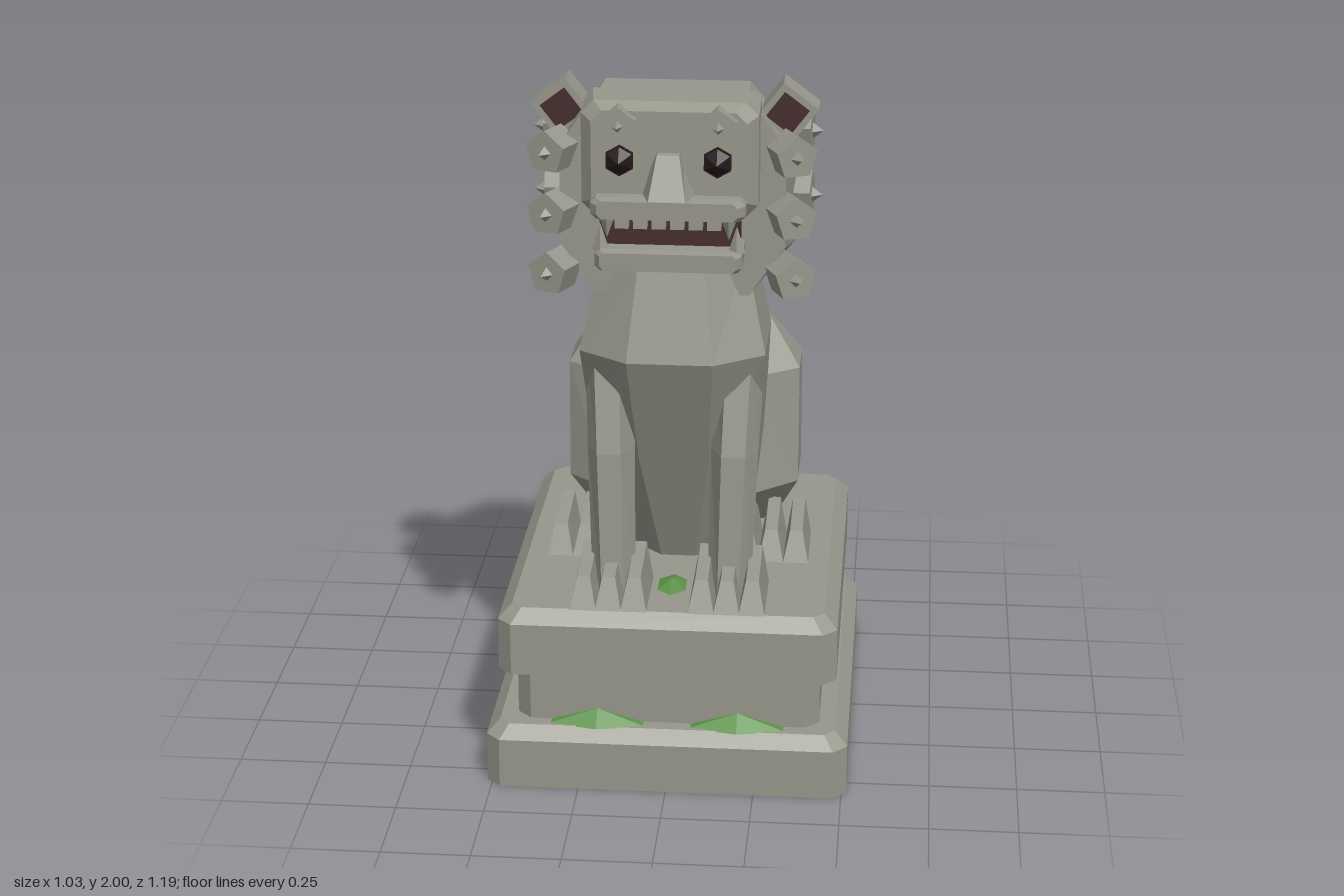
import * as THREE from 'three';

const mat = (name, color) => {
  const m = new THREE.MeshStandardMaterial({ color });
  m.name = name;
  return m;
};

// Faceted normals for the low-poly look
function flat(geo) {
  const g = geo.index ? geo.toNonIndexed() : geo;
  g.computeVertexNormals();
  return g;
}

// Solid skin over cross-sections with equal point counts, capped at both ends
function loft(rings) {
  const n = rings[0].length, tris = [];
  for (let r = 0; r < rings.length - 1; r++) {
    for (let i = 0; i < n; i++) {
      const j = (i + 1) % n, a = rings[r], b = rings[r + 1];
      tris.push([a[i], a[j], b[j]], [a[i], b[j], b[i]]);
    }
  }
  const end = rings[rings.length - 1];
  for (let i = 1; i < n - 1; i++) {
    tris.push([rings[0][0], rings[0][i + 1], rings[0][i]], [end[0], end[i], end[i + 1]]);
  }
  // Turn the faces outward if the volume comes out negative
  const v = p => new THREE.Vector3(...p);
  let volume = 0;
  for (const [a, b, c] of tris) volume += v(a).dot(v(b).cross(v(c)));
  if (volume < 0) tris.forEach(t => t.reverse());
  const geo = new THREE.BufferGeometry();
  geo.setAttribute('position', new THREE.Float32BufferAttribute(tris.flat(2), 3));
  return flat(geo);
}

// Rectangle with cut corners
const octagon = (w, h, cw, ch = cw) => [
  [w - cw, h], [w, h - ch], [w, ch - h], [w - cw, -h],
  [cw - w, -h], [-w, ch - h], [-w, h - ch], [cw - w, h]];
// Horizontal sections: cut rectangle and regular polygon
const octY = (y, z, w, d, cw, cd) => octagon(w, d, cw, cd).map(([a, b]) => [a, y, z + b]);
const polyY = (n, x, y, z, rx, rz, phase = 0) => Array.from({ length: n }, (_, i) => {
  const t = phase + i * 2 * Math.PI / n;
  return [x + rx * Math.cos(t), y, z + rz * Math.sin(t)];
});
// Upright section across z
const octZ = (z, w, y0, y1, cw, ch) =>
  octagon(w, (y1 - y0) / 2, cw, ch).map(([a, b]) => [a, (y0 + y1) / 2 + b, z]);

export function createModel() {
  const stone = mat('stone', 0x96968b);
  const moss = mat('moss', 0x5c9148);
  const mouthRed = mat('dark mouth', 0x452c2c);
  const eyeDark = mat('dark eye', 0x251818);
  const model = new THREE.Group();
  model.name = 'guardianLion';

  const add = (name, geo, material = stone, parent = model) => {
    const m = new THREE.Mesh(flat(geo), material);
    m.name = name;
    parent.add(m);
    return m;
  };
  const box = (name, w, h, d, x, y, z, material = stone) =>
    add(name, new THREE.BoxGeometry(w, h, d).translate(x, y, z), material);

  // Stepped plinth
  const slab = (name, w, d, y0, y1, bevel) => add(name, loft([
    octY(y0, 0, w, d, 0.04), octY(y1 - bevel, 0, w, d, 0.04),
    octY(y1, 0, w - bevel, d - bevel, 0.03)]));
  slab('plinthBase', 0.515, 0.597, 0, 0.182, 0.036);
  slab('plinthWaist', 0.432, 0.52, 0.18, 0.345, 0.002);
  slab('plinthTop', 0.48, 0.565, 0.34, 0.532, 0.038);

  // Moss patches on the ledge and between the paws
  for (const [x, y, z, rx, rz, h] of [
    [-0.2, 0.18, 0.52, 0.16, 0.055, 0.04], [0.2, 0.18, 0.52, 0.16, 0.055, 0.04],
    [0.43, 0.18, -0.2, 0.045, 0.22, 0.04], [-0.43, 0.18, -0.2, 0.045, 0.22, 0.04],
    [0, 0.18, -0.52, 0.18, 0.055, 0.04], [0, 0.53, 0.34, 0.05, 0.08, 0.025]]) {
    add('mossPatch', new THREE.ConeGeometry(1, h, 6).scale(rx, 1, rz).translate(x, y + h / 2, z), moss);
  }

  // Seated body, chest leaning forward
  add('body', loft([
    octY(0.53, -0.12, 0.2, 0.25, 0.15, 0.15),
    octY(0.9, 0.04, 0.24, 0.25, 0.14, 0.12),
    octY(1.24, 0.19, 0.26, 0.25, 0.14, 0.1),
    octY(1.52, 0.17, 0.2, 0.2, 0.11, 0.09)]));

  // Tail: upright leaf
  add('tail', loft([
    polyY(6, 0, 0.53, -0.3, 0.1, 0.08), polyY(6, 0, 1.18, -0.43, 0.18, 0.115),
    polyY(6, 0, 1.43, -0.455, 0.12, 0.085), polyY(6, 0, 1.66, -0.51, 0.003, 0.003)]));

  // Mane and back of the head
  add('mane', loft([
    octZ(-0.14, 0.19, 1.46, 1.745, 0.09, 0.08), octZ(-0.05, 0.27, 1.39, 1.87, 0.13, 0.14),
    octZ(0.14, 0.33, 1.365, 1.97, 0.13, 0.15), octZ(0.33, 0.31, 1.41, 1.97, 0.1, 0.14)]));

  // Face, nose and jaws
  add('face', loft([
    octZ(0.28, 0.24, 1.66, 1.98, 0.02), octZ(0.41, 0.24, 1.66, 1.98, 0.035),
    octZ(0.445, 0.21, 1.68, 1.96, 0.03)]));
  add('nose', loft([
    [[-0.035, 1.85, 0.4], [0.035, 1.85, 0.4], [0.085, 1.725, 0.4], [-0.085, 1.725, 0.4]],
    [[-0.03, 1.845, 0.465], [0.03, 1.845, 0.465], [0.05, 1.73, 0.515], [-0.05, 1.73, 0.515]]]));
  add('upperLip', loft([
    octZ(0.3, 0.21, 1.67, 1.73, 0.015), octZ(0.48, 0.21, 1.67, 1.73, 0.015),
    octZ(0.505, 0.19, 1.675, 1.725, 0.012)]));
  add('lowerJaw', loft([
    octZ(0.3, 0.2, 1.52, 1.58, 0.012), octZ(0.465, 0.2, 1.52, 1.58, 0.012),
    octZ(0.49, 0.185, 1.525, 1.575, 0.01)]));
  box('mouthInside', 0.38, 0.11, 0.12, 0, 1.625, 0.36, mouthRed);
  for (let i = 0; i < 6; i++) {
    box('upperTooth', 0.038, 0.035, 0.03, -0.125 + i * 0.05, 1.66, 0.465);
  }

  // Stone curl: five-sided knob with a small spike, facing +z before turning
  const curl = (name, x, y, z, r, depth, turn) => {
    const g = new THREE.Group();
    g.name = name;
    add('knob', new THREE.CylinderGeometry(r, r, depth, 5).rotateX(-Math.PI / 2), stone, g);
    add('spike', new THREE.ConeGeometry(r * 0.32, 0.03, 4)
      .rotateX(Math.PI / 2).translate(0, 0, depth / 2 + 0.015), stone, g);
    g.position.set(x, y, z);
    g.rotation.y = turn;
    model.add(g);
  };

  // Paw of three tapering toes, heel at z0 and tip at z1
  const paw = (name, s, xs, z0, z1) => xs.forEach(x => {
    const section = (y0, y1, w) => [
      [s * x - w, y0, z0], [s * x + w, y0, z0], [s * x + w, y1, z1], [s * x - w, y1, z1]];
    const top = section(0.645, 0.62, 0.018);
    top[2][2] = top[3][2] = z1 - 0.035;
    add(name, loft([section(0.53, 0.53, 0.037), top]));
  });

  for (const s of [1, -1]) {
    // Front leg
    add('frontLeg', loft([
      polyY(6, s * 0.165, 0.54, 0.37, 0.062, 0.062), polyY(6, s * 0.175, 0.95, 0.32, 0.067, 0.085),
      polyY(6, s * 0.185, 1.22, 0.24, 0.07, 0.11)]));
    paw('frontToe', s, [0.095, 0.167, 0.238], 0.295, 0.53);

    // Haunch and hind paw
    add('haunch', loft([
      polyY(6, s * 0.22, 0.53, -0.22, 0.05, 0.06, Math.PI / 6),
      polyY(6, s * 0.22, 0.7, -0.17, 0.138, 0.21, Math.PI / 6),
      polyY(6, s * 0.22, 1.05, -0.17, 0.138, 0.17, Math.PI / 6),
      polyY(6, s * 0.23, 1.21, -0.16, 0.003, 0.003, Math.PI / 6)]));
    paw('hindToe', s, [0.2, 0.272, 0.345], -0.065, 0.16);

    // Mane curls, brow curl and tail curl
    for (const y of [1.82, 1.645, 1.475]) curl('cheekCurl', s * 0.325, y, 0.34, 0.062, 0.09, s * 0.42);
    for (const y of [1.83, 1.645]) curl('sideCurl', s * 0.33, y, 0.125, 0.07, 0.09, s * 1.5);
    curl('browCurl', s * 0.135, 1.925, 0.45, 0.052, 0.05, 0);
    curl('tailCurl', s * 0.17, 1.08, -0.43, 0.08, 0.08, s * 2);

    // Eye: faceted point
    add('eye', new THREE.ConeGeometry(0.042, 0.035, 6).rotateX(Math.PI / 2)
      .translate(s * 0.132, 1.825, 0.475), eyeDark);
    add('eyeRim', new THREE.CylinderGeometry(0.042, 0.042, 0.03, 6).rotateX(-Math.PI / 2)
      .translate(s * 0.132, 1.825, 0.445), eyeDark);

    // Ear with dark hollow
    const ear = new THREE.Group();
    ear.name = 'ear';
    add('earBlock', new THREE.BoxGeometry(0.12, 0.12, 0.1), stone, ear);
    add('earHollow', new THREE.BoxGeometry(0.085, 0.085, 0.008).translate(0, 0, 0.05), mouthRed, ear);
    ear.position.set(s * 0.31, 1.913, 0.21);
    ear.rotation.z = -s * 0.65;
    model.add(ear);

    // Fangs, upper and lower
    add('upperFang', new THREE.ConeGeometry(0.022, 0.06, 4)
      .rotateX(Math.PI).translate(s * 0.165, 1.645, 0.475));
    add('lowerFang', new THREE.ConeGeometry(0.024, 0.075, 4).translate(s * 0.185, 1.61, 0.45));
  }
  return model;
}
